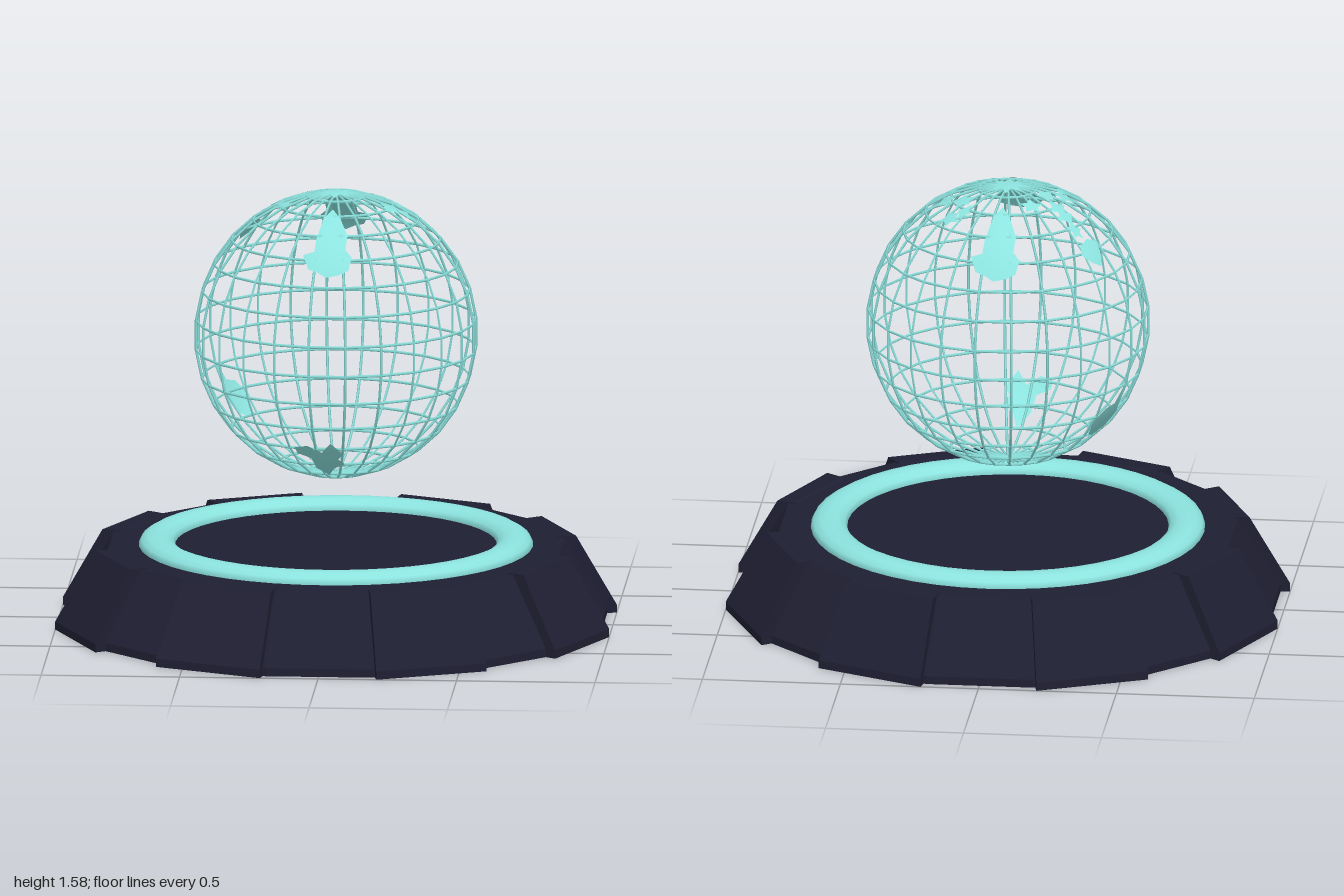
import * as THREE from 'three';

const aqua = new THREE.MeshStandardMaterial({ color: 0x8ce3df, side: THREE.DoubleSide });
aqua.name = 'aqua';
const stone = new THREE.MeshStandardMaterial({ color: 0x1f1f33, flatShading: true });
stone.name = 'midnight';

const R = 0.508;
const rad = THREE.MathUtils.degToRad;

function add(parent, name, geometry, material) {
  const mesh = new THREE.Mesh(geometry, material);
  mesh.name = name;
  parent.add(mesh);
  return mesh;
}

// Curved land plate: a star-shaped outline of [east, north] offsets about a direction
function landGeometry(dir, outline) {
  const c = new THREE.Vector3(...dir).normalize();
  const east = new THREE.Vector3(0, 1, 0).cross(c);
  if (east.length() < 0.01) east.set(1, 0, 0);
  east.normalize();
  const north = c.clone().cross(east);
  const n = outline.length, rings = 4, pos = [], nor = [], index = [];
  for (let k = 0; k <= rings; k++) {
    for (const [a, b] of outline) {
      const p = c.clone().addScaledVector(east, a * k / rings).addScaledVector(north, b * k / rings).normalize();
      nor.push(p.x, p.y, p.z);
      p.multiplyScalar(R + 0.004);
      pos.push(p.x, p.y, p.z);
    }
  }
  for (let k = 0; k < rings; k++) {
    for (let i = 0; i < n; i++) {
      const j = (i + 1) % n, a = k * n + i, b = k * n + j;
      index.push(a, a + n, b + n, a, b + n, b);
    }
  }
  const g = new THREE.BufferGeometry();
  g.setAttribute('position', new THREE.Float32BufferAttribute(pos, 3));
  g.setAttribute('normal', new THREE.Float32BufferAttribute(nor, 3));
  g.setIndex(index);
  return g;
}

// Star outline with alternating long and short points, stretched along east
function star(points, outer, inner, stretch = 1) {
  return Array.from({ length: points * 2 }, (_, i) => {
    const a = i * Math.PI / points, r = i % 2 ? inner : outer;
    return [r * Math.cos(a) * stretch, r * Math.sin(a)];
  });
}

function buildPedestal() {
  const g = new THREE.Group();
  g.name = 'pedestal';

  // Sixteen-sided sloping base
  const profile = [[0, 0], [0.985, 0], [0.985, 0.03], [0.83, 0.283], [0, 0.283]]
    .map(([x, y]) => new THREE.Vector2(x, y));
  add(g, 'base', new THREE.LatheGeometry(profile, 16, Math.PI / 16), stone);

  // Eight raised blocks that narrow towards the top
  const section = new THREE.Shape([[0.7, 0], [1, 0], [1, 0.03], [0.855, 0.288], [0.79, 0.288], [0.75, 0.27]]
    .map(([x, y]) => new THREE.Vector2(x, y)));
  const block = new THREE.ExtrudeGeometry(section, { depth: 2, bevelEnabled: false });
  block.translate(0, 0, -1);
  const p = block.attributes.position;
  for (let i = 0; i < p.count; i++) p.setZ(i, p.getZ(i) * 0.211 * p.getX(i));
  block.computeVertexNormals();
  for (let i = 0; i < 4; i++) {
    for (const side of [-1, 1]) {
      add(g, 'raisedBlock', block, stone).rotation.y = rad(90 * i + 23.8 * side);
    }
  }

  // Glowing rounded ring
  const ring = add(g, 'ring', new THREE.TorusGeometry(0.645, 0.066, 12, 48).rotateX(-Math.PI / 2), aqua);
  ring.scale.y = 0.6;
  ring.position.y = 0.285;
  return g;
}

function buildGlobe() {
  const g = new THREE.Group();
  g.name = 'globe';
  g.position.y = 1.06;
  g.scale.y = 1.02;

  // Parallels
  for (let lat = -78; lat <= 78; lat += 12) {
    const a = rad(lat);
    const geo = new THREE.TorusGeometry(R * Math.cos(a), 0.005, 4, 24);
    geo.rotateX(Math.PI / 2).rotateY(rad(7.5));
    add(g, 'parallel', geo, aqua).position.y = R * Math.sin(a);
  }
  // Meridians
  const meridian = new THREE.TorusGeometry(R, 0.005, 4, 30).rotateZ(rad(6));
  for (let i = 0; i < 12; i++) {
    add(g, 'meridian', meridian, aqua).rotation.y = rad(7.5 + 15 * i);
  }

  // Large land plates
  const arrow = [[0, 0.42], [-0.06, 0.3], [-0.1, 0.08], [-0.11, -0.04], [-0.19, -0.05], [-0.15, -0.17], [-0.08, -0.2],
    [-0.02, -0.24], [0.07, -0.22], [0.14, -0.18], [0.16, -0.07], [0.11, -0.01], [0.12, 0.12], [0.06, 0.3]];
  const splash = [[0.05, 0.22], [-0.02, 0.11], [-0.12, 0.18], [-0.22, 0.14], [-0.2, 0.07], [-0.1, 0.03], [-0.08, -0.12],
    [0, -0.28], [0.05, -0.12], [0.13, -0.06], [0.09, 0.02], [0.13, 0.08]];
  const shard = [[0.1, 0.28], [0.02, 0.11], [-0.07, 0.09], [-0.14, -0.02], [-0.09, -0.16], [-0.02, -0.2],
    [0.09, -0.12], [0.13, 0], [0.08, 0.1]];
  const lands = [
    ['frontUpperLand', [0, 0.74, 0.67], arrow],
    ['backUpperLand', [0, 0.74, -0.67], arrow],
    ['frontLowerLand', [-0.03, -0.77, 0.64], splash],
    ['sideLowerLand', [-0.385, -0.27, -0.215], shard],
    ['sideUpperLand', [-0.335, 0.345, -0.2], [[0.1, 0.06], [0.02, 0.1], [-0.08, 0.07], [-0.12, 0], [-0.07, -0.07],
      [0, -0.12], [0.05, -0.06]]],
    ['polarLand', [0, 1, 0], star(8, 0.16, 0.08)],
  ];
  for (const [name, dir, outline] of lands) add(g, name, landGeometry(dir, outline), aqua);

  // Small islands scattered around the top
  const islands = [[0.14, -0.17], [0.19, -0.18], [0.22, -0.05], [0.25, 0.04], [0.2, 0.06], [0.15, -0.1], [-0.18, 0.05],
    [-0.14, -0.04], [-0.22, -0.13], [-0.26, -0.17], [-0.19, -0.1], [-0.1, -0.14], [-0.2, 0]];
  islands.forEach(([x, z], i) => {
    const y = Math.sqrt(R * R - x * x - z * z);
    add(g, 'island', landGeometry([x, y, z], star(4 + i % 2, 0.085, 0.045, i % 3 ? 1 : 0.7)), aqua);
  });
  return g;
}

export function createModel() {
  const model = new THREE.Group();
  model.name = 'globeOnPedestal';
  model.add(buildPedestal(), buildGlobe());
  return model;
}
